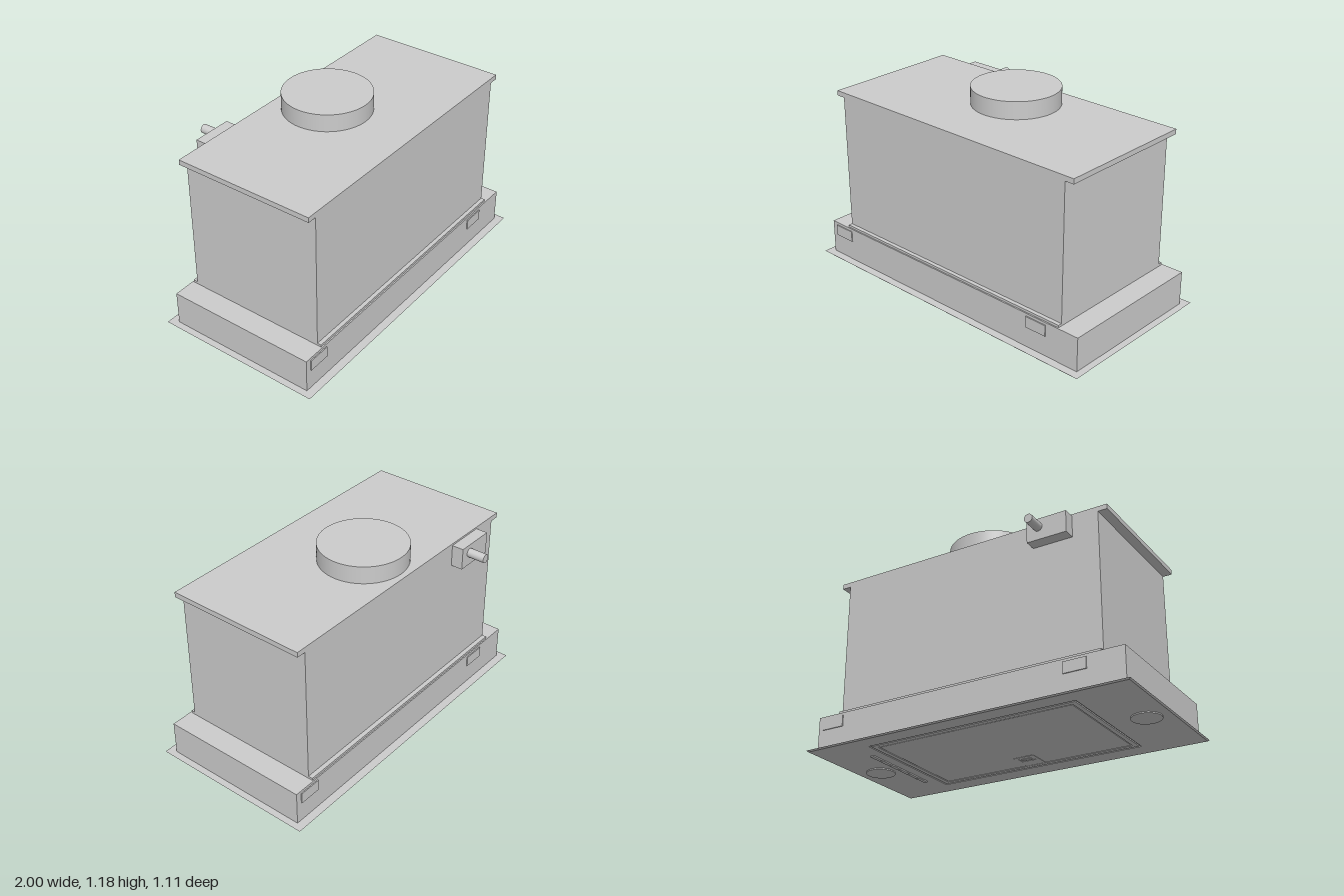
import * as THREE from 'three';

const grey = new THREE.MeshStandardMaterial({ color: 0xcccccc });

function add(parent, name, geometry) {
  const mesh = new THREE.Mesh(geometry, grey);
  mesh.name = name;
  parent.add(mesh);
  return mesh;
}

// Box given by its min and max on each axis
function box(parent, name, [x0, x1], [y0, y1], [z0, z1]) {
  const mesh = add(parent, name, new THREE.BoxGeometry(x1 - x0, y1 - y0, z1 - z0));
  mesh.position.set((x0 + x1) / 2, (y0 + y1) / 2, (z0 + z1) / 2);
  return mesh;
}

function cylinder(parent, name, radius, height, x, y, z, sides = 64) {
  const mesh = add(parent, name, new THREE.CylinderGeometry(radius, radius, height, sides));
  mesh.position.set(x, y, z);
  return mesh;
}

function rectangle(PathClass, [x0, x1], [z0, z1]) {
  return new PathClass([[x0, z0], [x1, z0], [x1, z1], [x0, z1]].map(p => new THREE.Vector2(...p)));
}

// Flat horizontal frame with a rectangular opening, lying between y0 and y1
function frameGeometry(outerX, outerZ, innerX, innerZ, y0, y1) {
  const shape = rectangle(THREE.Shape, outerX, outerZ);
  shape.holes.push(rectangle(THREE.Path, innerX, innerZ));
  const geometry = new THREE.ExtrudeGeometry(shape, { depth: y1 - y0, bevelEnabled: false });
  return geometry.rotateX(Math.PI / 2).translate(0, y1, 0);
}

export function createModel() {
  const model = new THREE.Group();
  model.name = 'builtInExtractorHood';

  // Housing
  box(model, 'base', [-0.96, 0.96], [0.017, 0.222], [-0.41, 0.503]);
  box(model, 'baseLip', [-0.825, 0.825], [0.222, 0.236], [-0.403, 0.495]);
  box(model, 'body', [-0.825, 0.825], [0.236, 1.046], [-0.376, 0.471]);
  box(model, 'topPlate', [-0.88, 0.88], [1.046, 1.076], [-0.376, 0.471]);
  cylinder(model, 'ductCollar', 0.256, 0.104, 0, 1.128, -0.085, 96);

  // Cable box at the back
  box(model, 'junctionBox', [-0.67, -0.43], [0.936, 1.065], [-0.447, -0.376]);
  const gland = cylinder(model, 'cableGland', 0.026, 0.107, -0.5, 1.014, -0.5, 32);
  gland.rotation.x = Math.PI / 2;

  // Spring clips on the front and back of the base, the back pair turned half round
  for (const side of [1, -1]) {
    const face = side > 0 ? 0.503 : -0.41;
    for (const [a, b] of [[-0.925, -0.79], [0.61, 0.745]]) {
      const x = side > 0 ? [a, b] : [-b, -a];
      const clip = new THREE.Group();
      clip.name = 'mountingClip';
      box(clip, 'clipPlate', x, [0.14, 0.206], [face - 0.006, face + 0.006]);
      model.add(clip);
    }
  }

  // Thin flange whose lower outer edge is tapered inwards
  const flange = frameGeometry([-1, 1], [-0.46, 0.552], [-0.648, 0.648], [-0.35, 0.43], 0.01, 0.018);
  const p = flange.attributes.position;
  for (let i = 0; i < p.count; i++) {
    if (Math.abs(p.getX(i)) > 0.9 && p.getY(i) < 0.014) {
      p.setX(i, p.getX(i) - 0.008 * Math.sign(p.getX(i)));
      p.setZ(i, p.getZ(i) - 0.008 * Math.sign(p.getZ(i)));
    }
  }
  flange.computeVertexNormals();
  add(model, 'flange', flange);

  // Grease filter: rim, inset panel and latch
  const filter = new THREE.Group();
  filter.name = 'greaseFilter';
  add(filter, 'filterRim', frameGeometry([-0.638, 0.638], [-0.34, 0.42],
    [-0.61, 0.61], [-0.312, 0.392], 0.01, 0.018));
  box(filter, 'filterPanel', [-0.604, 0.604], [0.011, 0.018], [-0.306, 0.386]);
  add(filter, 'latchFrame', frameGeometry([-0.065, 0.065], [0.24, 0.386],
    [-0.045, 0.045], [0.26, 0.31], 0.009, 0.013));
  box(filter, 'latchHandle', [-0.03, 0.03], [0.008, 0.013], [0.275, 0.3]);
  model.add(filter);

  // Lamps at both ends of the underside
  for (const x of [-0.855, 0.855]) {
    cylinder(model, 'lamp', 0.085, 0.012, x, 0.009, 0.045);
  }

  // Row of control buttons
  for (let i = 0; i < 6; i++) {
    const z = -0.22 + i * 0.09;
    box(model, 'controlButton', [0.708, 0.732], [0.003, 0.013], [z, z + 0.084]);
  }
  return model;
}
